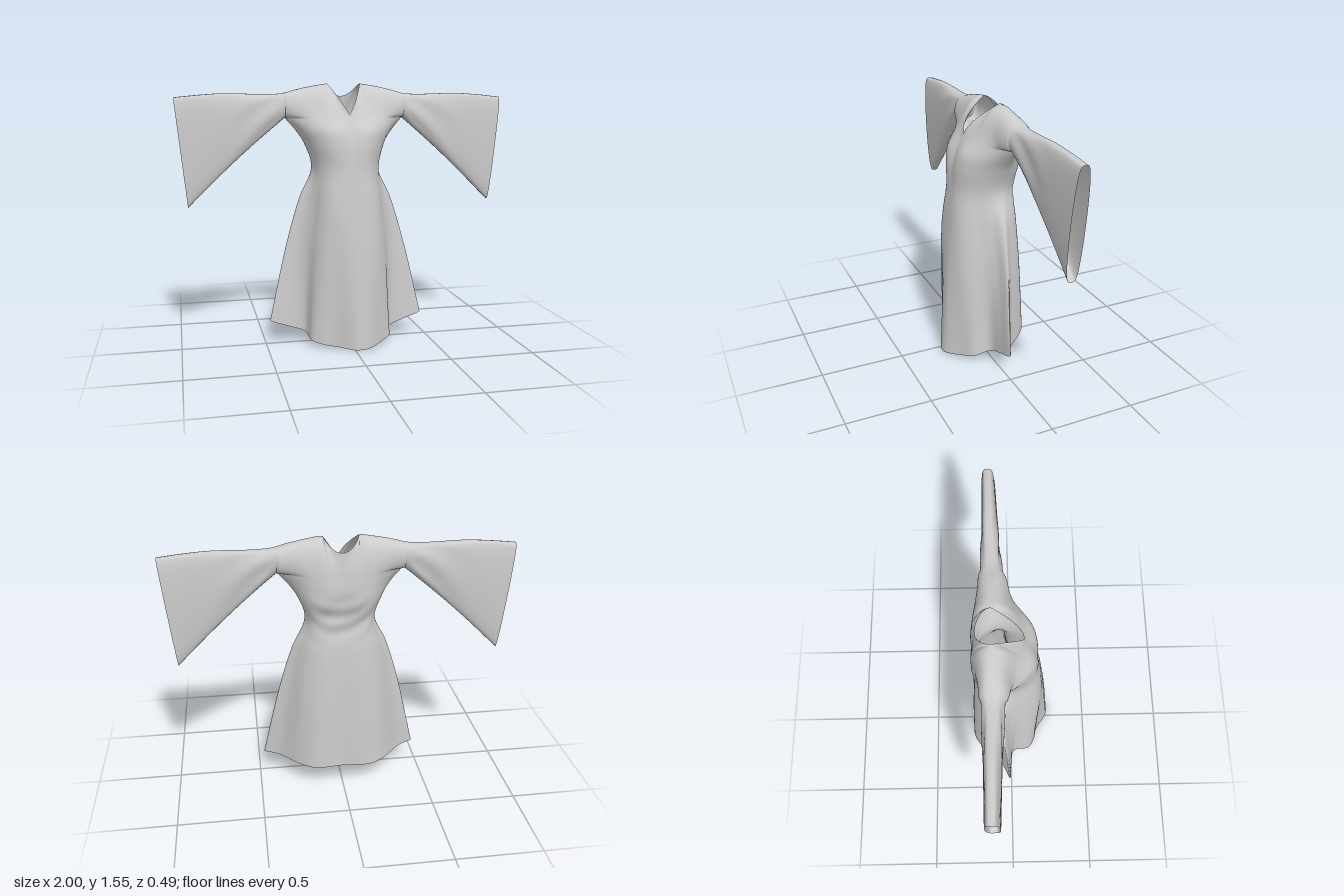
import * as THREE from 'three';

const { lerp, smoothstep, clamp } = THREE.MathUtils;
const V = (x, y, z) => new THREE.Vector3(x, y, z);
const gauss = (d, w) => Math.exp(-(d * d) / (w * w));
const N = 40; // columns on each quarter of the garment

// Half cross-sections [x, z] running front centre -> side -> back centre
const LEVELS = [
  [0.6, [[0, .207], [.08, .2], [.155, .17], [.2, .12], [.24, .04], [.295, -.01], [.365, -.04], [.31, -.085], [.23, -.175], [.13, -.225], [0, -.225]]],
  [0.88, [[0, .182], [.07, .178], [.13, .155], [.172, .11], [.2, .05], [.235, -.005], [.28, -.055], [.25, -.1], [.19, -.17], [.1, -.208], [0, -.21]]],
  [1.06, [[0, .162], [.06, .158], [.11, .137], [.15, .1], [.18, .05], [.197, -.01], [.203, -.07], [.19, -.12], [.15, -.17], [.08, -.188], [0, -.188]]],
  [1.2, [[0, .145], [.07, .151], [.13, .13], [.18, .085], [.215, .03], [.235, -.03], [.243, -.08], [.23, -.13], [.17, -.19], [.09, -.215], [0, -.21]]],
  [1.28, [[0, .12], [.08, .133], [.14, .115], [.2, .07], [.245, .02], [.275, -.03], [.295, -.08], [.265, -.125], [.19, -.185], [.09, -.215], [0, -.21]]],
  [1.355, [[0, .085], [.08, .083], [.15, .063], [.22, .03], [.28, -.01], [.33, -.05], [.36, -.085], [.31, -.125], [.2, -.185], [.1, -.207], [0, -.202]]],
];
// Hem points [x, y, z]: long front panel, raised side flare and back
const HEM = [[0, 0, .24], [.1, .008, .22], [.19, .025, .16], [.24, .04, .115], [.265, .068, .02], [.36, .1, 0],
  [.472, .14, -.01], [.38, .14, -.06], [.265, .14, -.18], [.17, .14, -.24], [0, .14, -.235]];

const loops = [
  new THREE.CatmullRomCurve3(HEM.map((p) => V(...p))),
  ...LEVELS.map(([y, pts]) => new THREE.CatmullRomCurve3(pts.map(([x, z]) => V(x, y, z)))),
];
// Column j: 0..N is the front, N..2N the back
const loopParam = (j) => (j <= N ? (j / N) * 0.6 : 0.6 + ((j - N) / N) * 0.4);
const columns = Array.from({ length: 2 * N + 1 }, (_, j) =>
  new THREE.CatmullRomCurve3(loops.map((l) => l.getPoint(loopParam(j)))));

// Where each column ends on the shoulder; column M meets the neck corner
const frontX = columns.slice(0, N + 1).map((c) => c.getPoint(1).x);
const M = frontX.findIndex((x) => x >= 0.1);
const shoulderX = (i) => (i <= M
  ? 0.1 * Math.sin((Math.PI / 2) * (i / M))
  : lerp(0.1, 0.36, (frontX[i] - frontX[M]) / (frontX[N] - frontX[M])));

// Shoulder and sleeve ridge height over x
const RIDGE = new THREE.SplineCurve([[.1, 1.555], [.19, 1.541], [.28, 1.522], [.38, 1.497], [.5, 1.493], [.7, 1.498], [.85, 1.49], [1, 1.475]]
  .map((p) => new THREE.Vector2(...p))).getPoints(120);
function ridgeY(x) {
  const i = Math.max(1, RIDGE.findIndex((p) => p.x >= x - 1e-6));
  const a = RIDGE[i - 1], b = RIDGE[i];
  return lerp(a.y, b.y, clamp((x - a.x) / (b.x - a.x), 0, 1));
}

// Upper edge: V neckline in front, round neckline behind, ridge beyond
function topEdge(x, front) {
  const t = x / 0.1;
  if (t > 1 - 1e-6) return V(x, ridgeY(x), lerp(-0.1, -0.11, (x - 0.1) / 0.9));
  return front
    ? V(x, 1.375 + 0.18 * t, 0.075 - 0.175 * t ** 1.8)
    : V(x, 1.48 + 0.075 * t * t, -0.1 - 0.085 * Math.sqrt(1 - t * t));
}

// Point on a sheet arching from a lower edge to an upper edge
function arch(bottom, top, v, front, thick, power) {
  const f = (1 - Math.cos(Math.PI * v)) / 2;
  const bulge = thick * Math.max(0, Math.sin(Math.PI * v)) ** power;
  return V(lerp(bottom.x, top.x, f), lerp(bottom.y, top.y, f),
    lerp(bottom.z, top.z, v) + (front ? bulge : -bulge));
}

// The yoke carries on from the body's slope, and rounds into the sleeve near the arm
function yokePoint(i, v, front) {
  const column = columns[front ? i : 2 * N - i];
  const bottom = column.getPoint(1), x = shoulderX(i), top = topEdge(x, front);
  const reach = bottom.distanceTo(top) * 0.35;
  const c1 = column.getTangent(1).multiplyScalar(reach).add(bottom).setX(bottom.x);
  const over = V(0, 0, (front ? 1 : -1) * reach).add(top);
  const c2 = bottom.clone().lerp(top, 0.65).lerp(over, smoothstep(x, 0.06, 0.13));
  const p = new THREE.CubicBezierCurve3(bottom, c1, c2, top).getPoint(v);
  return p.lerp(arch(bottom, top, v, front, 0.065, 0.7), smoothstep(x, 0.18, 0.36));
}

function sleevePoint(u, v, front) {
  const bottom = V(0.36 + 0.575 * u, 1.355 - 0.525 * u + 0.015 * Math.sin(Math.PI * u), lerp(-0.085, -0.107, u));
  const top = topEdge(0.36 + 0.64 * u, front);
  const p = arch(bottom, top, v, front, lerp(0.065, 0.043, Math.sqrt(u)), lerp(0.7, 0.48, u));
  // soft creases running out from the shoulder
  p.z += 0.005 * Math.sin(Math.PI * v) * Math.sin(v * 15 + u * 9) * smoothstep(u, 0, 0.15) * (1 - smoothstep(u, 0.25, 0.7));
  return p;
}

// Uneven fall of the front skirt fold, and swags of cloth behind the waist
function drape(p) {
  const k = clamp(1 - p.y / 0.8, 0, 1) * clamp(p.z * 8, 0, 1);
  p.z += k * (0.018 * gauss(p.x - 0.06, 0.06) - 0.045 * gauss(p.x + 0.1, 0.07));
  const w = gauss(p.y - 1.1, 0.11) * gauss(p.x, 0.17) * clamp((-0.12 - p.z) * 20, 0, 1);
  p.z += w * (0.006 * Math.sin(p.y * 58 - p.x * p.x * 160 + p.x * 9) + 0.004 * Math.sin(p.y * 33 + p.x * 22));
  return p;
}

export function createModel() {
  const group = new THREE.Group();
  group.name = 'robe';
  const positions = [], lookup = new Map(), parts = {};

  // Shared vertices keep the shading smooth across part joins
  function vertex(p) {
    const key = p.toArray().map((n) => Math.round(n * 1e4)).join();
    if (!lookup.has(key)) {
      lookup.set(key, positions.length / 3);
      positions.push(p.x, p.y, p.z);
    }
    return lookup.get(key);
  }
  function sheet(name, nu, nv, fn, side, flip) {
    const index = (parts[name] ??= []);
    const ids = [];
    for (let i = 0; i <= nu; i++)
      for (let k = 0; k <= nv; k++) {
        const p = fn(i, k / nv);
        p.x *= side;
        ids.push(vertex(drape(p)));
      }
    const tri = (a, b, c) => {
      if (a === b || b === c || c === a) return;
      if (flip !== side < 0) index.push(a, c, b);
      else index.push(a, b, c);
    };
    for (let i = 0; i < nu; i++)
      for (let k = 0; k < nv; k++) {
        const a = ids[i * (nv + 1) + k], d = ids[i * (nv + 1) + k + 1];
        const b = ids[(i + 1) * (nv + 1) + k], c = ids[(i + 1) * (nv + 1) + k + 1];
        tri(a, b, c);
        tri(a, c, d);
      }
  }

  for (const side of [1, -1]) {
    sheet('bodyAndSkirt', 2 * N, 70, (j, v) => columns[j].getPoint(v), side, false);
    for (const front of [true, false]) {
      sheet('shoulderYoke', N, 24, (i, v) => yokePoint(i, v, front), side, !front);
      sheet(side > 0 ? 'leftSleeve' : 'rightSleeve', 40, 24, (i, v) => sleevePoint(i / 40, v, front), side, !front);
    }
  }

  const whole = new THREE.BufferGeometry();
  whole.setAttribute('position', new THREE.Float32BufferAttribute(positions, 3));
  whole.setIndex(Object.values(parts).flat());
  whole.computeVertexNormals();

  const cloth = new THREE.MeshStandardMaterial({ color: 0xcccccc, side: THREE.DoubleSide });
  for (const [name, index] of Object.entries(parts)) {
    const geometry = new THREE.BufferGeometry();
    geometry.setAttribute('position', whole.getAttribute('position'));
    geometry.setAttribute('normal', whole.getAttribute('normal'));
    geometry.setIndex(index);
    const mesh = new THREE.Mesh(geometry, cloth);
    mesh.name = name;
    group.add(mesh);
  }
  return group;
}
